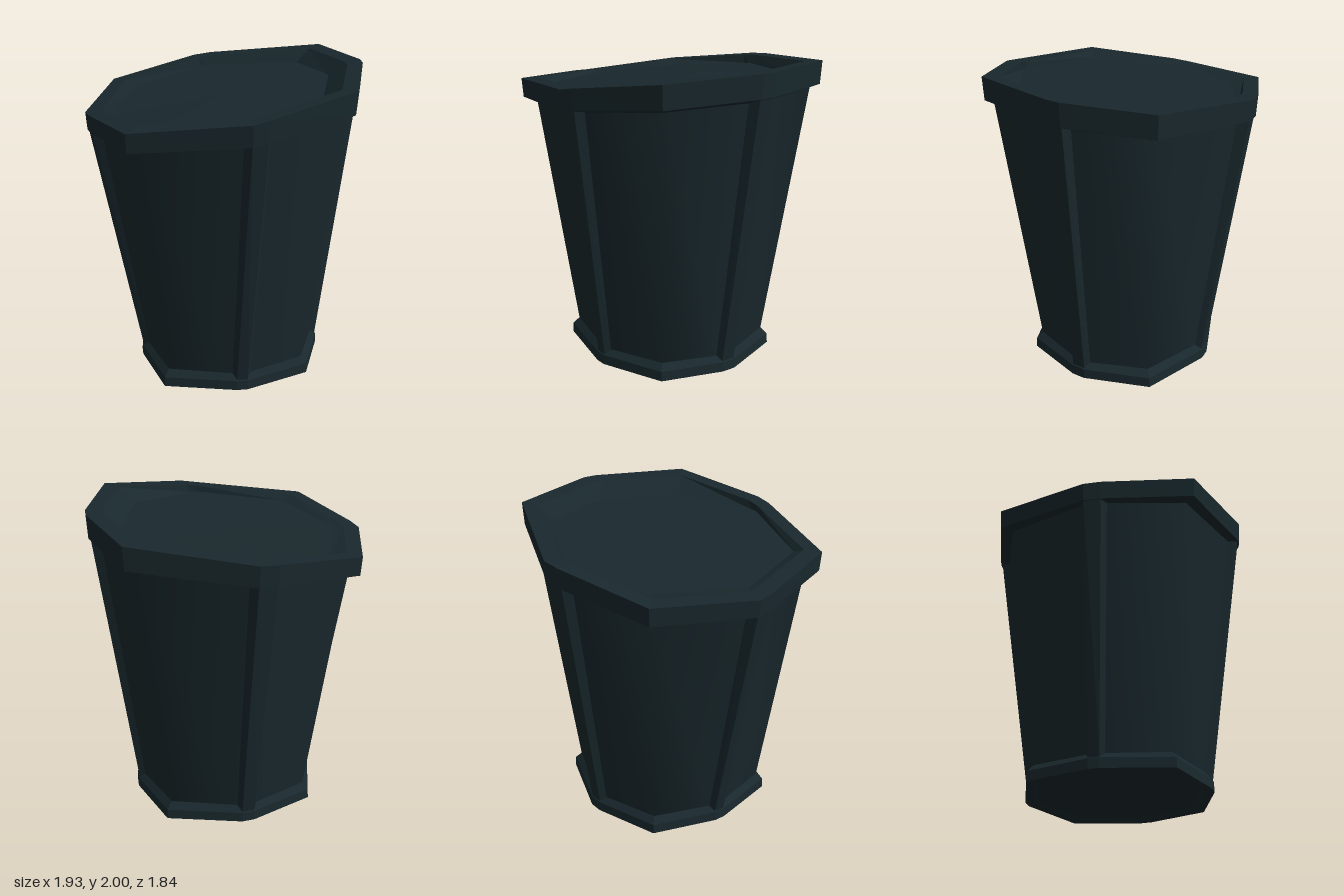
import * as THREE from 'three';

const points = (list) => list.map((p) => new THREE.Vector3(...p));

// Corners seen from above, [x, y, z], from the back round to the right, front and left.
// Each side is one sharp corner followed by a cut-off corner that carries a rib.
const RIM = points([
  [-0.06, 1.79, -0.92], [0.52, 1.88, -0.68], [0.62, 1.89, -0.61],
  [0.965, 1.98, 0.08], [0.68, 2.0, 0.57], [0.61, 2.0, 0.63],
  [0.06, 1.985, 0.915], [-0.5, 1.9, 0.68], [-0.58, 1.88, 0.62],
  [-0.965, 1.81, 0.0], [-0.71, 1.76, -0.53], [-0.65, 1.75, -0.62],
]);
const FOOT = points([
  [-0.02, 0.065, -0.645], [0.39, 0.065, -0.465], [0.455, 0.065, -0.41],
  [0.685, 0.065, 0.03], [0.475, 0.065, 0.42], [0.405, 0.065, 0.48],
  [0.02, 0.065, 0.65], [-0.385, 0.065, 0.46], [-0.435, 0.065, 0.41],
  [-0.68, 0.065, 0.0], [-0.455, 0.065, -0.385], [-0.405, 0.065, -0.435],
]);
// The lid is turned slightly against the rim
const LID = points([
  [-0.05, 1.81, -0.71], [0.47, 1.88, -0.575], [0.5, 1.89, -0.55],
  [0.765, 1.96, 0.03], [0.57, 1.98, 0.39], [0.54, 1.98, 0.42],
  [0.04, 1.96, 0.685], [-0.47, 1.9, 0.58], [-0.5, 1.9, 0.56],
  [-0.79, 1.82, 0.04], [-0.59, 1.78, -0.42], [-0.57, 1.78, -0.46],
]);

const material = new THREE.MeshStandardMaterial({ color: 0x19282d });

// Skin between rings of points; faces look outward when the rings run upward
function loft(name, rings, { closed = true, smooth = false } = {}) {
  const n = rings[0].length;
  const index = [];
  for (let r = 0; r < rings.length - 1; r++) {
    for (let i = 0; i < (closed ? n : n - 1); i++) {
      const j = (i + 1) % n;
      const a = r * n + i, b = r * n + j, c = a + n, d = b + n;
      index.push(a, c, d, a, d, b);
    }
  }
  let geometry = new THREE.BufferGeometry().setFromPoints(rings.flat());
  geometry.setIndex(index);
  if (!smooth) geometry = geometry.toNonIndexed();
  geometry.computeVertexNormals();
  const mesh = new THREE.Mesh(geometry, material);
  mesh.name = name;
  return mesh;
}

// Copy of an outline, scaled in plan, with its height set by a rule
const ring = (outline, scale, height) => outline.map((p) =>
  new THREE.Vector3(p.x * scale, height(p.y), p.z * scale));

// Heights across the tilted top
const tilt = (base, slope) => (h) => base + slope * (h - 1.885);
const under = tilt(1.735, 0.7);
const floor = tilt(1.83, 0.7);

const inset = (p, scale) => new THREE.Vector3(p.x * scale, p.y, p.z * scale);

// Edge of a recessed panel: beside a rib and set inward
const panelEdge = (rib, corner) => inset(rib.clone().lerp(corner, 0.06), 0.93);

export function createModel() {
  const group = new THREE.Group();

  // Foot with a shallow hollow underneath and a sill below the panels
  group.add(loft('base', [
    ring(FOOT, 0, () => 0.02), ring(FOOT, 0.86, () => 0.02),
    ring(FOOT, 0.91, () => 0), ring(FOOT, 1, () => 0),
    ring(FOOT, 0.995, () => 0.065), ring(FOOT, 0.92, () => 0.115),
    ring(FOOT, 0.8, () => 0.135),
  ]));

  // Four bent recessed panels, and four ribs standing flush with foot and rim
  for (let k = 0; k < 4; k++) {
    // Lower and upper edge of a wall strip; the upper edge ends inside the rim
    const walls = (section) => [
      { outline: FOOT, lower: 0, lean: 0 },
      { outline: RIM, lower: 0.09, lean: 0.2 },
    ].map(({ outline, lower, lean }) => {
      const at = (i) => outline[(3 * k + i + 12) % 12];
      const strip = section(at, 0.92 + lean * (at(0).y - 1.885));
      return strip.map((p) => new THREE.Vector3(p.x, p.y - lower, p.z));
    });
    group.add(loft('panel', walls((at, cornerScale) => [
      panelEdge(at(-1), at(0)), inset(at(0), cornerScale), panelEdge(at(1), at(0)),
    ]), { closed: false, smooth: true }));
    group.add(loft('rib', walls((at) => [
      panelEdge(at(1), at(0)), inset(at(1), 0.985),
      inset(at(2), 0.985), panelEdge(at(2), at(3)),
    ]), { closed: false }));
  }

  // Tilted rim with a sloping underside
  group.add(loft('rim', [
    ring(RIM, 0.8, under), ring(RIM, 0.91, under),
    ring(RIM, 0.99, tilt(1.75, 0.85)), ring(RIM, 1, (h) => h),
    ring(RIM, 0.885, tilt(1.885, 0.9)), ring(LID, 1, floor),
  ]));

  // Sunken lid inside the rim
  group.add(loft('lid', [
    ring(LID, 1, floor), ring(LID, 0, () => 1.83),
  ], { smooth: true }));

  return group;
}
